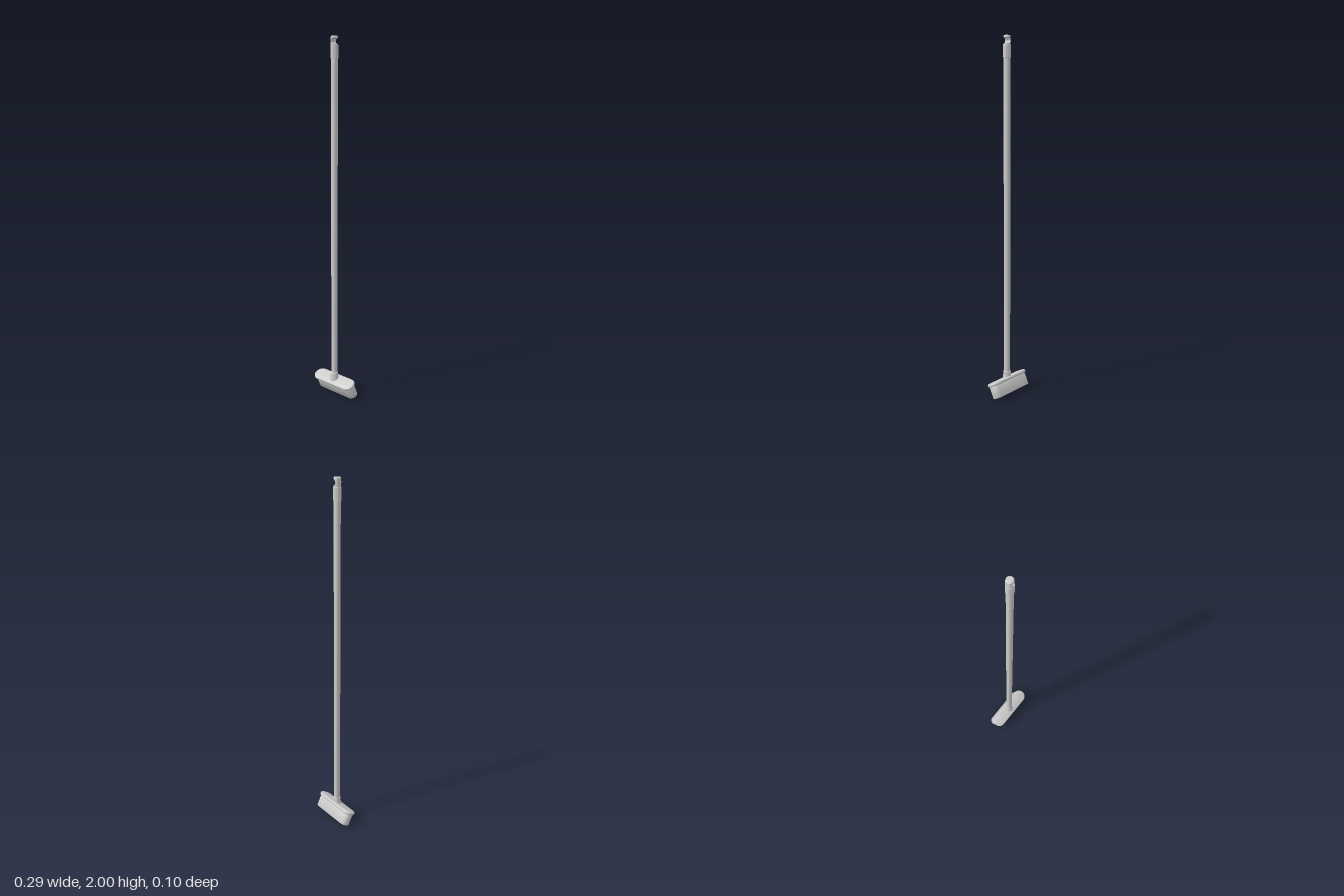
import * as THREE from 'three';
import { toCreasedNormals } from 'three/addons/utils/BufferGeometryUtils.js';

const material = new THREE.MeshStandardMaterial({ color: 0xcccccc });

function part(name, geometry, y = 0) {
  const mesh = new THREE.Mesh(toCreasedNormals(geometry, 0.6), material);
  mesh.name = name;
  mesh.position.y = y;
  return mesh;
}

// Upright slab with a stadium outline, its edges rounded by a bevel; base at y = 0
function stadiumSlab(halfLength, radius, height, bevel) {
  const r = radius - bevel, c = halfLength - radius;
  const shape = new THREE.Shape();
  shape.absarc(c, 0, r, -Math.PI / 2, Math.PI / 2, false);
  shape.absarc(-c, 0, r, Math.PI / 2, Math.PI * 1.5, false);
  shape.closePath();
  const geometry = new THREE.ExtrudeGeometry(shape, {
    depth: height - 2 * bevel, bevelEnabled: true, bevelSize: bevel,
    bevelThickness: bevel, bevelSegments: 4, curveSegments: 20,
  });
  geometry.translate(0, 0, bevel);
  return geometry.rotateX(-Math.PI / 2);
}

function lathe(points) {
  return new THREE.LatheGeometry(points.map(([r, y]) => new THREE.Vector2(r, y)), 48);
}

// Round end cap with a notch cut in from +x, making a hanging hook
function hookGeometry() {
  const notchY = 0.088, notchR = 0.016, notchX = 0.008, steps = 12;
  const profile = [[0, 0], [0.021, 0], [0.021, 0.066], [0.0195, 0.068], [0.0195, notchY - notchR]];
  const firstRow = profile.length;
  for (let i = 0; i <= steps; i++) {
    profile.push([0.0195, notchY - notchR * Math.cos(Math.PI * i / steps)]);
  }
  profile.push([0.0195, notchY + notchR], [0.0195, 0.108], [0.018, 0.112], [0.014, 0.115], [0, 0.115]);
  const geometry = lathe(profile);
  const p = geometry.attributes.position;
  for (let i = 0; i < p.count; i++) {
    const row = i % profile.length - firstRow;
    if (row < 0 || row > steps) continue;
    const limit = notchX - notchR * Math.sin(Math.PI * row / steps);
    p.setX(i, Math.min(p.getX(i), limit));
  }
  return geometry;
}

export function createModel() {
  const model = new THREE.Group();
  model.name = 'broom';

  // Tilted head: bristle block under an overhanging plate
  const head = new THREE.Group();
  head.name = 'head';
  head.position.set(0, 0.013, -0.024);
  head.rotation.x = THREE.MathUtils.degToRad(26);
  head.add(
    part('bristles', stadiumSlab(0.14, 0.03, 0.074, 0.002)),
    part('headPlate', stadiumSlab(0.147, 0.04, 0.018, 0.007), 0.069),
  );

  // Vertical handle with its socket and hanging hook
  const handle = new THREE.Group();
  handle.name = 'handle';
  handle.position.z = 0.009;
  handle.add(
    part('socket', lathe([[0, 0.076], [0.025, 0.076], [0.025, 0.092], [0.022, 0.108],
      [0.021, 0.128], [0.018, 0.131]])),
    part('pole', new THREE.CylinderGeometry(0.018, 0.018, 1.8, 40), 1.0),
    part('hangingHook', hookGeometry(), 1.885),
  );

  model.add(head, handle);
  return model;
}
